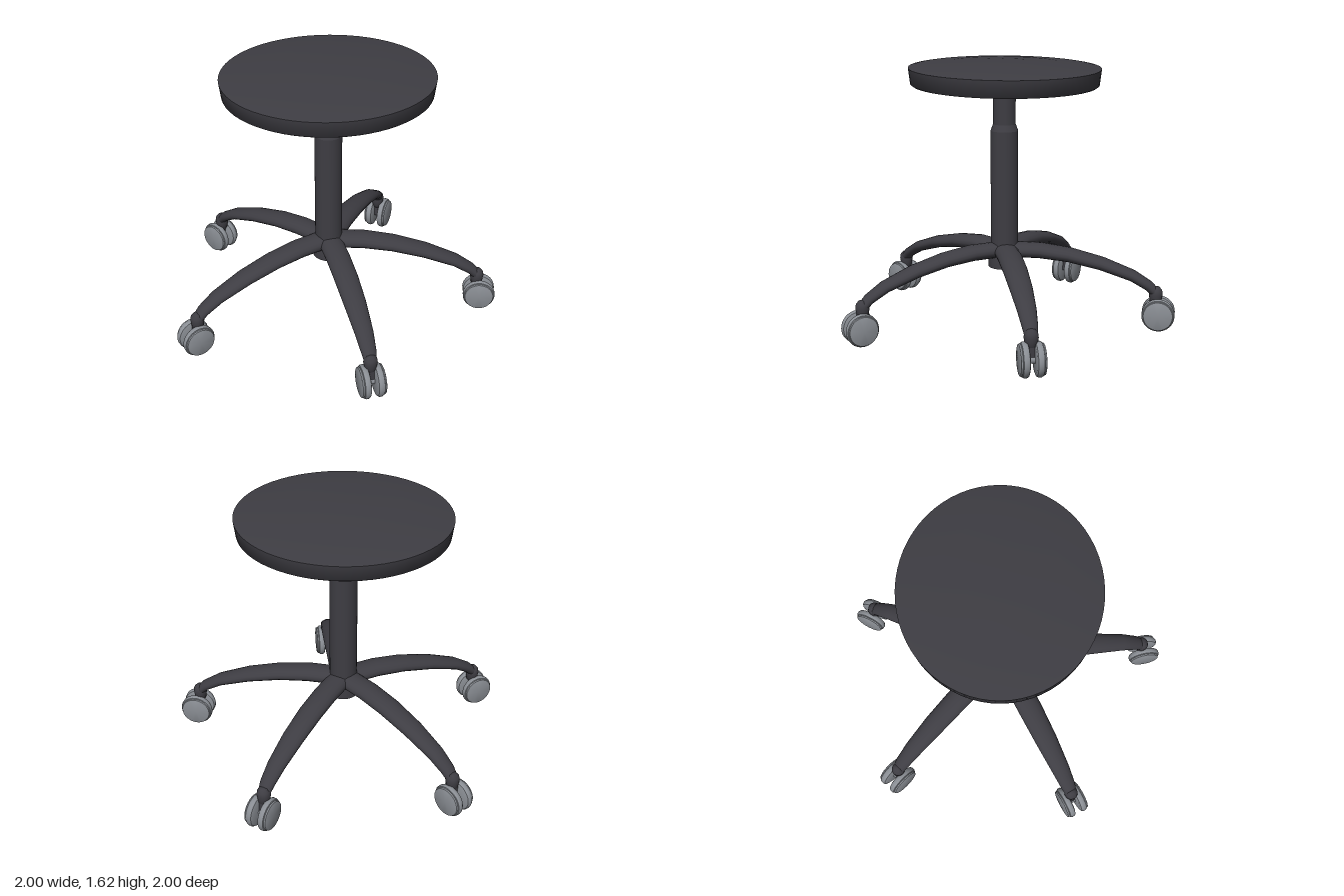
import * as THREE from 'three';
import { toCreasedNormals } from 'three/addons/utils/BufferGeometryUtils.js';

const dark = new THREE.MeshStandardMaterial({ color: 0x3e3d43 });
dark.name = 'charcoal';
const grey = new THREE.MeshStandardMaterial({ color: 0x8a8e94 });
grey.name = 'castor grey';

function part(name, geometry, material) {
  const mesh = new THREE.Mesh(geometry, material);
  mesh.name = name;
  return mesh;
}

// Turned part from [radius, height] pairs, listed bottom to top
function turned(points, segments = 48, crease = 0.6) {
  const profile = points.map(([r, y]) => new THREE.Vector2(r, y));
  return toCreasedNormals(new THREE.LatheGeometry(profile, segments), crease);
}

// Arched leg running along +x: stations of [distance, height, half height, half width]
function legGeometry() {
  const stations = [
    [0, 0.468, 0.047, 0.075], [0.22, 0.468, 0.047, 0.075], [0.4, 0.447, 0.043, 0.074],
    [0.6, 0.4, 0.039, 0.068], [0.79, 0.332, 0.034, 0.056], [0.89, 0.272, 0.031, 0.046],
    [0.935, 0.225, 0.028, 0.036],
  ];
  const sides = 16;
  const positions = [];
  const index = [];
  stations.forEach(([x, y, h, w], i) => {
    const a = stations[Math.max(i - 1, 0)];
    const b = stations[Math.min(i + 1, stations.length - 1)];
    const slope = Math.atan2(b[1] - a[1], b[0] - a[0]);
    for (let j = 0; j < sides; j++) {
      const t = (j / sides) * Math.PI * 2;
      const up = Math.sin(t) * h;
      positions.push(x - Math.sin(slope) * up, y + Math.cos(slope) * up, Math.cos(t) * w);
      if (i === 0) continue;
      const k = (j + 1) % sides;
      const p = (i - 1) * sides;
      const q = i * sides;
      index.push(p + j, q + j, q + k, p + j, q + k, p + k);
    }
  });
  // Close the outer end
  const last = (stations.length - 1) * sides;
  for (let j = 1; j < sides - 1; j++) index.push(last, last + j + 1, last + j);
  // Each ring runs from +z over the top, so the walls are wound outward
  const geometry = new THREE.BufferGeometry();
  geometry.setAttribute('position', new THREE.Float32BufferAttribute(positions, 3));
  for (let j = 0; j < index.length; j += 3) orientOutward(index, j, positions, stations);
  geometry.setIndex(index);
  geometry.computeVertexNormals();
  return toCreasedNormals(geometry, 0.7);
}

// Flip a triangle that faces the leg's centre line
function orientOutward(index, at, positions, stations) {
  const [a, b, c] = [0, 1, 2].map((n) => new THREE.Vector3().fromArray(positions, index[at + n] * 3));
  const middle = a.clone().add(b).add(c).divideScalar(3);
  let n = 1;
  while (n < stations.length - 1 && stations[n][0] < middle.x) n++;
  const [x0, y0] = stations[n - 1];
  const [x1, y1] = stations[n];
  const f = Math.min(Math.max((middle.x - x0) / (x1 - x0), 0), 0.9);
  const core = new THREE.Vector3(x0 + (x1 - x0) * f, y0 + (y1 - y0) * f, 0);
  const normal = b.sub(a).cross(c.sub(a));
  if (normal.dot(middle.sub(core)) < 0) [index[at + 1], index[at + 2]] = [index[at + 2], index[at + 1]];
}

export function createModel() {
  const model = new THREE.Group();
  model.name = 'stool';

  const stool = new THREE.Group();
  stool.name = 'stoolBody';
  stool.position.set(-0.045, 0, -0.042);
  model.add(stool);

  // Oval seat with flared sides and a shallow dome
  const seat = new THREE.Group();
  seat.name = 'seat';
  seat.scale.z = 0.905;
  seat.add(
    part('seatBase', turned([[0, 1.482], [0.55, 1.482], [0.605, 1.482], [0.617, 1.49], [0.63, 1.585]], 64, 1.3), dark),
    part('seatTop', turned([[0.63, 1.585], [0.6, 1.59], [0.4, 1.606], [0.2, 1.616], [0, 1.62]], 64), dark),
  );
  stool.add(seat);

  // Gas lift column, with its hub below the legs
  stool.add(
    part('upperColumn', turned([[0.068, 1.23], [0.068, 1.485]], 32), dark),
    part('lowerColumn', turned([[0.083, 0.4], [0.083, 1.205], [0.068, 1.245]], 32, 0.3), dark),
    part('hub', turned([[0, 0.36], [0.097, 0.36], [0.097, 0.46], [0.083, 0.51]], 32), dark),
  );

  // Five legs, each with a twin-wheel castor
  const leg = legGeometry();
  const stem = turned([[0, 0.15], [0.022, 0.155], [0.035, 0.175], [0.038, 0.2], [0.042, 0.222],
    [0.038, 0.248], [0.022, 0.267], [0, 0.272]], 20, 1.2);
  // Wheel profile with a rounded tread, a groove and a raised outer cap
  const wheel = turned([[0, -0.027], [0.08, -0.027], [0.094, -0.022], [0.1, -0.012], [0.1, 0.003],
    [0.095, 0.012], [0.089, 0.014], [0.091, 0.017], [0.088, 0.025], [0.083, 0.027], [0, 0.027]], 32);
  const axle = new THREE.CylinderGeometry(0.022, 0.022, 0.06, 16);

  for (let i = 0; i < 5; i++) {
    const arm = new THREE.Group();
    arm.name = `legAssembly${i + 1}`;
    arm.rotation.y = -THREE.MathUtils.degToRad(8.6 + i * 72);
    arm.add(part('leg', leg, dark));

    const pivot = part('castorStem', stem, dark);
    pivot.position.x = 0.932;
    arm.add(pivot);

    const bar = part('castorAxle', axle, grey);
    bar.rotation.x = Math.PI / 2;
    bar.position.set(0.95, 0.1, 0);
    arm.add(bar);

    // Bridge from stem to axle
    const bridge = part('castorBridge', new THREE.BoxGeometry(0.045, 0.09, 0.03), dark);
    bridge.position.set(0.942, 0.13, 0);
    arm.add(bridge);

    for (const side of [-1, 1]) {
      const roller = part('castorWheel', wheel, grey);
      roller.rotation.x = side * Math.PI / 2;
      roller.position.set(0.95, 0.1, side * 0.045);
      arm.add(roller);
    }
    stool.add(arm);
  }
  return model;
}
